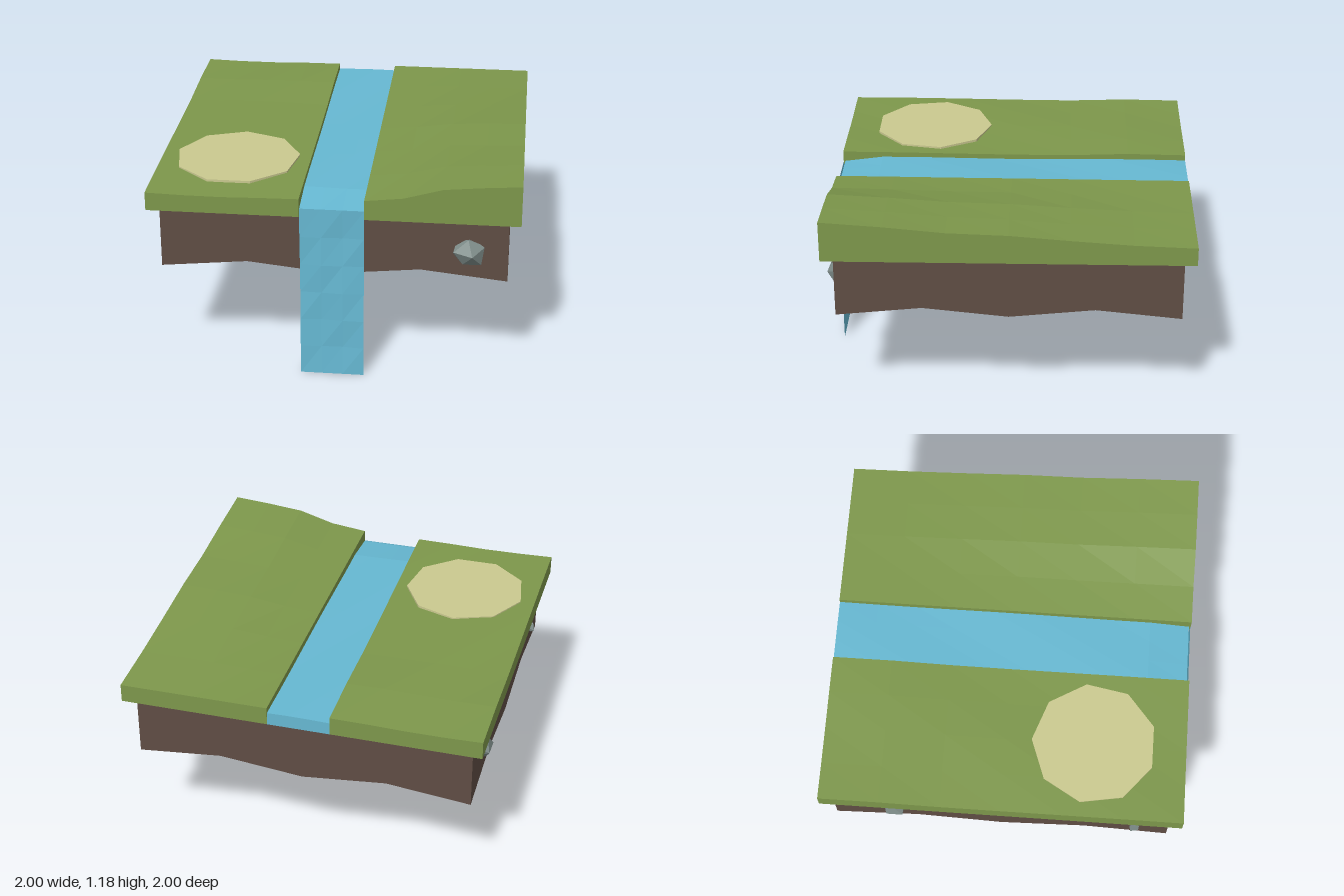
import * as THREE from 'three';

const mat = (color) => new THREE.MeshStandardMaterial({ color, flatShading: true, side: THREE.DoubleSide });
const grass = mat(0x7d974b), soil = mat(0x5f4d44), water = mat(0x66b8d2), sand = mat(0xcac98f), stone = mat(0x7d8b88);

function addMesh(group, name, geometry, material) {
  const mesh = new THREE.Mesh(geometry, material);
  mesh.name = name;
  group.add(mesh);
  return mesh;
}

// Bottomless slab: a height field with skirts around its rim
function slab(x0, x1, z0, z1, nx, nz, top, bottom) {
  const g = new THREE.BoxGeometry(x1 - x0, 1, z1 - z0, nx, 1, nz);
  const base = g.groups[3];
  const index = Array.from(g.index.array);
  index.splice(base.start, base.count);
  g.setIndex(index);
  g.clearGroups();
  g.translate((x0 + x1) / 2, 0, (z0 + z1) / 2);
  const p = g.attributes.position;
  for (let i = 0; i < p.count; i++) {
    const x = p.getX(i), z = p.getZ(i);
    p.setY(i, p.getY(i) > 0 ? top(x, z) : bottom(x, z));
  }
  const flat = g.toNonIndexed();
  flat.computeVertexNormals();
  return flat;
}

// Linear interpolation through evenly spaced samples, t in 0..1
function sample(values, t) {
  const f = Math.min(Math.max(t, 0), 1) * (values.length - 1);
  const i = Math.min(Math.floor(f), values.length - 2);
  return THREE.MathUtils.lerp(values[i], values[i + 1], f - i);
}

// Irregular boulder, bent by a fixed wave
function rock(radius, seed) {
  const g = new THREE.IcosahedronGeometry(radius, 0);
  const p = g.attributes.position;
  const v = new THREE.Vector3();
  for (let i = 0; i < p.count; i++) {
    v.fromBufferAttribute(p, i);
    const k = 0.9 + 0.2 * Math.sin(40 * v.x + 55 * v.y + 70 * v.z + seed);
    p.setXYZ(i, v.x * k, v.y * k, v.z * k);
  }
  g.computeVertexNormals();
  return g;
}

export function createModel() {
  const model = new THREE.Group();
  model.name = 'floatingIsland';
  const flatBottom = () => 0.95;

  // Earth shell, open below, with a scalloped lower edge
  const isHalf = (a) => Math.abs(Math.abs(a) - 0.47) < 0.01;
  const isRim = (a) => Math.abs(a) > 0.9;
  const earthTop = (x, z) => ((isHalf(x) && isRim(z)) || (isHalf(z) && isRim(x)) ? 0.928 : 0.965);
  const earthBottom = (x, z) => (isHalf(x) && isRim(z)) || (isHalf(z) && isRim(x)) ? 0.64 : 0.592;
  addMesh(model, 'earth', slab(-0.938, 0.938, -0.938, 0.938, 4, 4, earthTop, earthBottom), soil);

  // Hilly bank rising to the front corner
  const across = [0.06, 0.25, 0.72, 0.88, 1];
  const along = [0, 0.1, 0.28, 0.49, 0.58, 0.82, 1];
  const hill = (x, z) => 1.053 + 0.127 * sample(across, (x - 0.172) / 0.828) * sample(along, (z + 1) / 2);
  addMesh(model, 'hillBank', slab(0.172, 1, -1, 1, 4, 6, hill, flatBottom), grass);

  // Low bank with slight bumps
  const low = (x, z) => 1.05 + 0.004 * Math.sin(7 * x + 3 * z) + (z < -0.4 && z > -0.9 ? 0.008 : 0);
  addMesh(model, 'lowBank', slab(-1, -0.175, -1, 1, 4, 6, low, flatBottom), grass);

  // Sandy clearing
  const clearing = addMesh(model, 'clearing', new THREE.CylinderGeometry(0.345, 0.345, 0.02, 9), sand);
  clearing.position.set(-0.58, 1.05, 0.49);
  clearing.rotation.y = Math.PI;

  // Stream, dipping at the front edge
  const stream = (x, z) => (z > 0.9 ? 0.995 : 1.022 + 0.003 * Math.sin(9 * x + 5 * z));
  addMesh(model, 'stream', slab(-0.174, 0.171, -1, 0.99, 3, 9, stream, flatBottom), water);

  // Waterfall sheet
  const fall = new THREE.PlaneGeometry(0.345, 0.996, 3, 6);
  fall.translate(-0.0015, 0.498, 0);
  const fp = fall.attributes.position;
  for (let i = 0; i < fp.count; i++) {
    const y = fp.getY(i);
    const inset = y > 0.99 || y < 0.01 ? 0.002 : 0.007 + 0.006 * Math.sin(17 * fp.getX(i) + 8 * y);
    fp.setZ(i, 1 - inset);
  }
  fall.computeVertexNormals();
  addMesh(model, 'waterfall', fall, water);

  // Boulders lodged in the earth walls
  const rocks = [
    [0.72, 0.755, 0.91, 0.1, 0.5],
    [-0.9, 0.745, -0.6, 0.085, 2],
    [-0.925, 0.695, 0.75, 0.042, 4],
  ];
  rocks.forEach(([x, y, z, r, seed], i) => {
    const m = addMesh(model, 'rock' + (i + 1), rock(r, seed), stone);
    m.position.set(x, y, z);
    m.rotation.set(seed, 0.4 * i, -0.6);
  });

  return model;
}
